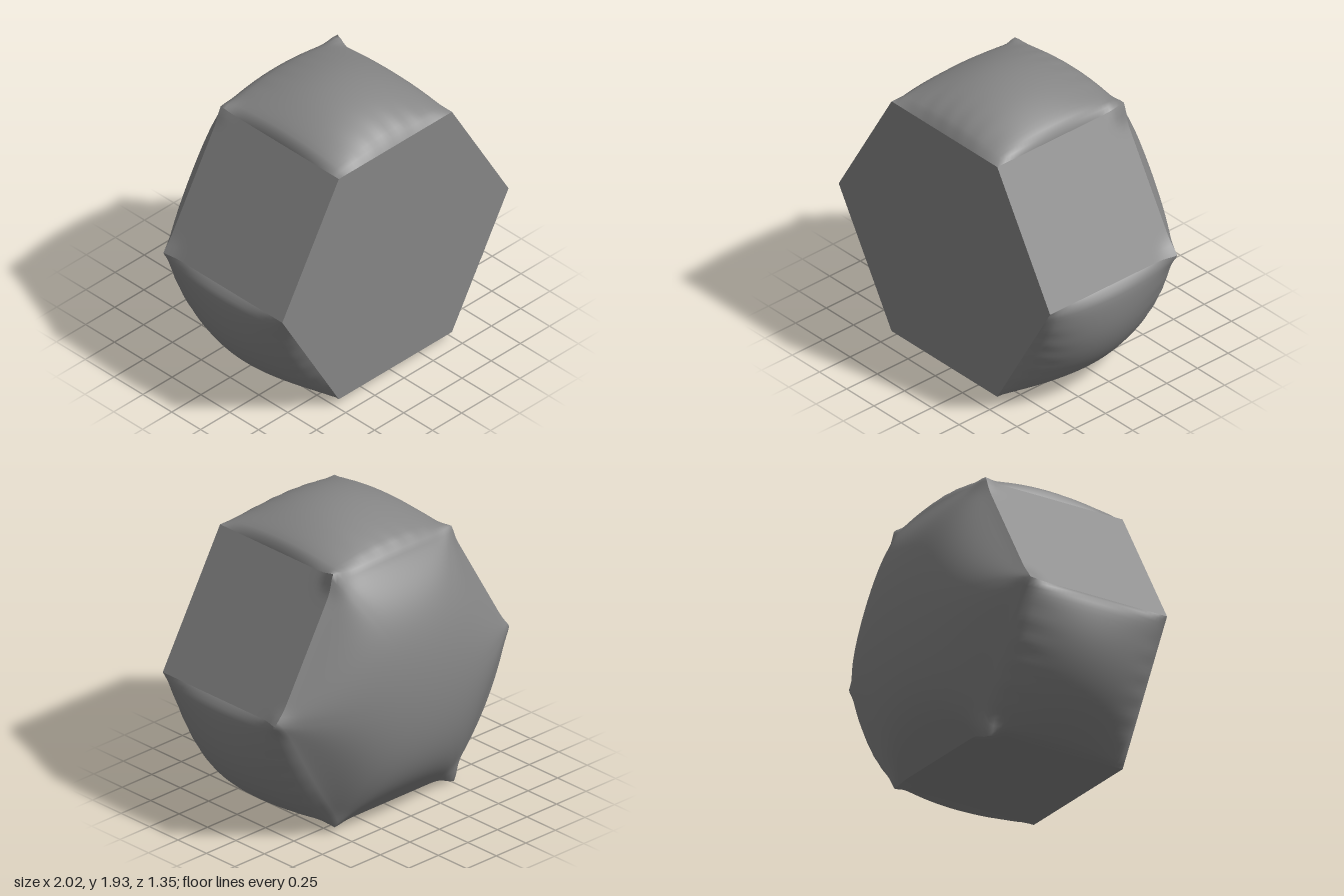
import * as THREE from 'three';
import { mergeVertices, mergeGeometries } from 'three/addons/utils/BufferGeometryUtils.js';

const R = 0.97;                    // hexagon corner radius
const AP = R * Math.cos(Math.PI / 6); // hexagon apothem
const CY = 0.895;                  // height of the axis
const FRONT = 0.675, BACK = -0.34; // ends of the straight prism
const MID = (FRONT + BACK) / 2, HALF = (FRONT - BACK) / 2;
const PUFF = 0.195, DOME = 0.335;  // side and back bulge heights
const EARS = [0.025, 0.04, 0.02, 0.015, 0.062, 0.02]; // pinch at each back corner
const N = 32;

const sideAngle = k => Math.PI / 6 + k * Math.PI / 3;
const isPuffed = k => k % 2 === 1;

// Point given by distance along the side's normal and tangent
function sidePoint(k, out, along, z) {
  const a = sideAngle(k), c = Math.cos(a), s = Math.sin(a);
  return pinch(new THREE.Vector3(out * c - along * s, out * s + along * c, z));
}

// Pull small fabric ears outward at the back corners
function pinch(p) {
  const start = p.clone();
  EARS.forEach((ear, k) => {
    const a = k * Math.PI / 3;
    const corner = new THREE.Vector3(R * Math.cos(a), R * Math.sin(a), BACK);
    const w = ear * Math.exp(-start.distanceToSquared(corner) / 0.005);
    p.x += w * Math.cos(a);
    p.y += w * Math.sin(a);
  });
  return p;
}

// Grid surface whose outside is the direction dp x dq
function grid(fn) {
  const pos = [], idx = [];
  for (let i = 0; i <= N; i++)
    for (let j = 0; j <= N; j++) pos.push(...fn(i / N, j / N).toArray());
  for (let i = 0; i < N; i++)
    for (let j = 0; j < N; j++) {
      const a = i * (N + 1) + j, b = a + N + 1;
      idx.push(a, b, b + 1, a, b + 1, a + 1);
    }
  const g = new THREE.BufferGeometry();
  g.setAttribute('position', new THREE.Float32BufferAttribute(pos, 3));
  g.setIndex(idx);
  return g;
}

// Pillow-shaped side, rounding over into the back dome
function puffedSide(k) {
  return grid((p, q) => {
    const v = 2 * p - 1, u = 2 * q - 1;
    const eu = 1 - u * u, ev = 1 - v * v;
    const edge = Math.max(0, v) ** 4 * eu;
    const wrinkle = 0.02 * Math.sin(22 * u) * v ** 6 * ev * eu;
    const out = AP + PUFF * (eu * ev) ** 0.7 + 0.035 * edge + wrinkle;
    const overhang = 0.25 * Math.sign(u) * Math.abs(u) ** 8 * eu * Math.sqrt(ev);
    return sidePoint(k, out, u * R / 2 + overhang, MID - v * HALF - 0.03 * edge);
  });
}

// Dome height: a smooth minimum over the hexagon's three pairs of sides
function domeHeight(out, along) {
  let sum = 0;
  for (const turn of [0, Math.PI / 3, -Math.PI / 3]) {
    const d = (out * Math.cos(turn) + along * Math.sin(turn)) / AP;
    sum += 1 / Math.max(0, 1 - d * d) ** 3;
  }
  return DOME * (3 / sum) ** 0.367;
}

// One sixth of the domed back
function domeSector(k) {
  return grid((p, q) => {
    const u = 2 * p - 1, along = q * u * R / 2, out = q * AP;
    const edge = isPuffed(k) ? q ** 6 * (1 - u * u) : 0;
    const z = BACK - domeHeight(out, along) - 0.03 * edge;
    return sidePoint(k, out + 0.035 * edge, along, z);
  });
}

// Flat rectangular side, following the pinched back corners
function flatSide(k) {
  return grid((p, q) => sidePoint(k, AP, (q - 0.5) * R, MID - (2 * p - 1) * HALF));
}

export function createModel() {
  const group = new THREE.Group();
  const mat = new THREE.MeshStandardMaterial({ color: 0x868686, side: THREE.DoubleSide });
  const add = (geometry, name) => {
    const mesh = new THREE.Mesh(geometry, mat);
    mesh.name = name;
    mesh.position.y = CY;
    group.add(mesh);
  };

  // Inflated skin: three pillows and the dome, smooth where they meet
  const skin = [];
  for (let k = 0; k < 6; k++) {
    skin.push(domeSector(k));
    if (isPuffed(k)) skin.push(puffedSide(k));
  }
  const puffed = mergeVertices(mergeGeometries(skin), 1e-4);
  puffed.computeVertexNormals();
  add(puffed, 'inflatedSkin');

  // Flat sides between the pillows
  for (let k = 0; k < 6; k += 2) {
    const wall = flatSide(k);
    wall.computeVertexNormals();
    add(wall, 'flatSide');
  }

  // Flat hexagonal front
  const face = new THREE.CircleGeometry(R, 6);
  face.translate(0, 0, FRONT);
  add(face, 'frontFace');

  return group;
}
